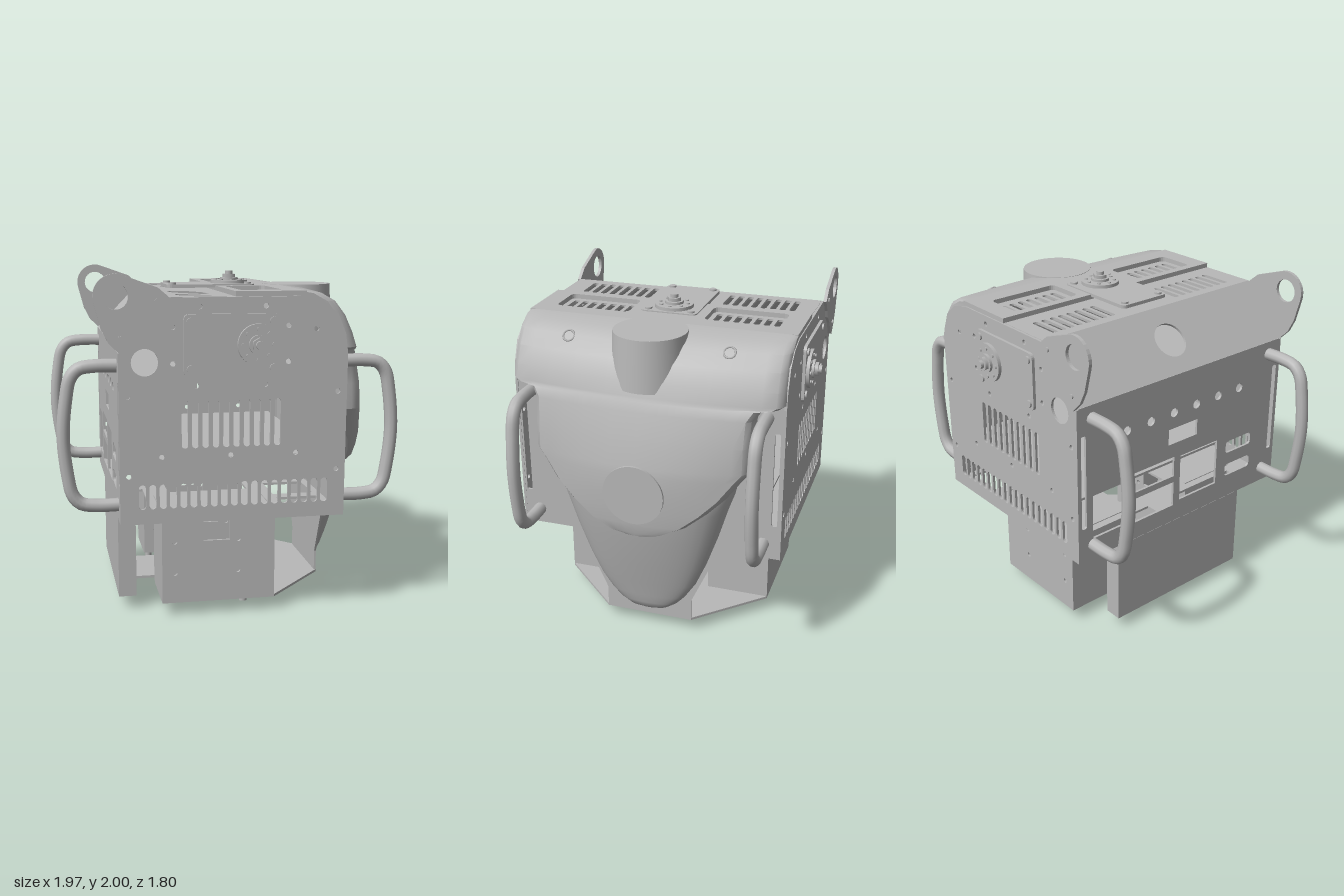
import * as THREE from 'three';
import { toCreasedNormals } from 'three/addons/utils/BufferGeometryUtils.js';

export function createModel() {
  const root = new THREE.Group();
  const grey = new THREE.MeshStandardMaterial({ color: 0xb8b8b8, side: THREE.DoubleSide });
  grey.name = 'plain grey';

  const add = (name, geo, parent = root) => {
    const m = new THREE.Mesh(geo, grey);
    m.name = name;
    parent.add(m);
    return m;
  };
  const poly = pts => pts.map(p => new THREE.Vector2(p[0], p[1]));
  const rect = (x0, y0, x1, y1) => poly([[x0, y0], [x1, y0], [x1, y1], [x0, y1]]);
  const circle = (x, y, r, n = 20) => new THREE.Path().absarc(x, y, r, 0, Math.PI * 2).getPoints(n);
  // rounded rectangle about a centre
  const pill = (x, y, w, h, r) => {
    const p = [];
    [[1, 1], [-1, 1], [-1, -1], [1, -1]].forEach(([sx, sy], q) => {
      for (let k = 0; k <= 4; k++) {
        const a = (q + k / 4) * Math.PI / 2;
        p.push([x + sx * (w / 2 - r) + r * Math.cos(a), y + sy * (h / 2 - r) + r * Math.sin(a)]);
      }
    });
    return poly(p);
  };
  // extruded sheet: 'xy' grows to +z, 'zy' grows to -x, 'xz' grows to -y
  const sheet = (outline, holes, depth, plane = 'xy') => {
    const s = new THREE.Shape(outline);
    s.holes = holes.map(h => new THREE.Path(h));
    const g = new THREE.ExtrudeGeometry(s, { depth, bevelEnabled: false });
    if (plane === 'zy') g.rotateY(-Math.PI / 2);
    if (plane === 'xz') g.rotateX(Math.PI / 2);
    return g;
  };
  // surface through rows of points
  const loft = rows => {
    const n = rows[0].length, idx = [];
    for (let i = 0; i < rows.length - 1; i++) for (let j = 0; j < n - 1; j++) {
      const a = i * n + j, b = a + n;
      idx.push(a, b, a + 1, a + 1, b, b + 1);
    }
    const g = new THREE.BufferGeometry();
    g.setAttribute('position', new THREE.Float32BufferAttribute(rows.flat(2), 3));
    g.setIndex(idx);
    return toCreasedNormals(g, 0.6);
  };

  // ---- Side plates with ventilation slots and screw holes
  const sideOutline = poly([[-0.65, 0.61], [0.64, 0.61], [0.645, 1.55], [0.63, 1.66], [0.585, 1.77],
    [0.5, 1.84], [0.38, 1.87], [-0.36, 1.87], [-0.65, 1.57]]);
  const sideHoles = [circle(-0.505, 1.52, 0.075)];
  for (let i = 0; i < 10; i++) sideHoles.push(pill(-0.285 + i * 0.0585, 1.17, 0.036, 0.27, 0.017));
  for (let i = 0; i < 19; i++) sideHoles.push(pill(-0.525 + i * 0.058, 0.765, 0.04, 0.14, 0.019));
  [[-0.2, 1.82], [0.17, 1.82], [-0.35, 1.71], [0.3, 1.71], [-0.35, 1.51], [0.3, 1.51], [0.46, 1.69],
    [-0.22, 1.385], [0.17, 1.385], [-0.6, 1.335], [0.59, 1.335], [-0.415, 0.99], [-0.025, 0.99],
    [0.35, 0.99], [-0.6, 0.885], [0.59, 0.885]].forEach(([x, y]) => sideHoles.push(circle(x, y, 0.015, 8)));

  // ---- Lifting tab outline
  const tab = [[-0.36, 1.865], [-0.43, 1.925]];
  for (let k = 0; k <= 10; k++) {
    const a = 1.15 + k * 0.225;
    tab.push([-0.66 + 0.12 * Math.cos(a), 1.88 + 0.12 * Math.sin(a)]);
  }
  tab.push([-0.74, 1.71], [-0.7, 1.63], [-0.64, 1.57], [-0.6, 1.585], [-0.53, 1.68], [-0.45, 1.74], [-0.42, 1.79]);

  // ---- Handle path
  const handlePath = new THREE.CatmullRomCurve3([[0.62, 1.495], [0.78, 1.495], [0.86, 1.48], [0.905, 1.43], [0.93, 1.32],
    [0.95, 1.1], [0.93, 0.88], [0.905, 0.77], [0.86, 0.72], [0.78, 0.705], [0.62, 0.705]]
    .map(([x, y]) => new THREE.Vector3(x, y, 0)));

  // ---- Joint hub facing +z: flange, bolt ring, hex bolt
  const hub = () => {
    const g = new THREE.Group();
    g.name = 'hub';
    const disc = (name, r, z0, z1, n, x = 0, y = 0) =>
      add(name, new THREE.CylinderGeometry(r, r, z1 - z0, n).rotateX(Math.PI / 2).translate(x, y, (z0 + z1) / 2), g);
    disc('hubFlange', 0.115, 0, 0.04, 32);
    disc('hubCollar', 0.055, 0.04, 0.055, 24);
    disc('hexBolt', 0.042, 0.055, 0.075, 6);
    disc('boltTip', 0.024, 0.075, 0.095, 12);
    for (let k = 0; k < 8; k++) disc('flangeScrew', 0.011, 0.04, 0.047, 8,
      0.085 * Math.cos(k * Math.PI / 4), 0.085 * Math.sin(k * Math.PI / 4));
    return g;
  };
  const mount = (rx, y, z) => {
    const g = new THREE.Group();
    g.name = 'jointMount';
    add('mountPlate', sheet(pill(-0.022, 0, 0.54, 0.34, 0.03), [], 0.02), g);
    for (const x of [-0.255, 0.21]) for (const v of [-0.13, 0.13])
      add('mountScrew', new THREE.CylinderGeometry(0.022, 0.022, 0.012, 12).rotateX(Math.PI / 2).translate(x, v, 0.025), g);
    const h = hub();
    h.position.x = 0.12;
    g.add(h);
    g.rotation.x = rx;
    g.position.set(0, y, z);
    root.add(g);
  };
  mount(0, 1.61, 0.803);
  mount(Math.PI, 1.61, -0.803);
  mount(-Math.PI / 2, 1.887, 0);

  for (const s of [1, -1]) {
    const at = (c, d) => s > 0 ? c : -c - d;
    add('sidePlate', sheet(sideOutline, sideHoles, 0.015)).position.z = at(0.79, 0.015);
    add('liftingTab', sheet(poly(tab), [circle(-0.66, 1.88, 0.07)], 0.02)).position.z = at(0.802, 0.02);
    for (const [x, y] of [[-0.435, 1.855], [-0.635, 1.655]])
      add('tabScrew', new THREE.CylinderGeometry(0.014, 0.014, 0.01, 10).rotateX(Math.PI / 2)).position.set(x, y, s * 0.825);
    for (const m of [1, -1]) {
      const h = add('handle', new THREE.TubeGeometry(handlePath, 48, 0.038, 10));
      h.position.z = s * 0.7;
      if (m < 0) h.rotation.y = Math.PI;
    }
    // Lower housing: four thin walls with a notch
    const notch = [rect(-0.155, 0.45, 0, 0.585), ...[[-0.325, 0.45], [0.05, 0.45], [-0.325, 0.26], [0.05, 0.26]]
      .map(([x, y]) => circle(x, y, 0.014, 8))];
    for (const z of [0.645, 0.27])
      add('housingSide', sheet(rect(-0.4, 0.09, 0.27, 0.615), notch, 0.015)).position.z = at(z, 0.015);
    for (const x of [0.27, -0.385])
      add('housingEnd', sheet(rect(at(0.27, 0.39), 0.09, at(0.27, 0.39) + 0.39, 0.635), [], 0.015, 'zy')).position.x = x;
    const foot = hub();
    foot.rotation.x = Math.PI / 2;
    foot.position.set(0.12, 0.095, s * 0.47);
    root.add(foot);
    for (const x of [-0.37, 0.2])
      add('footScrew', new THREE.CylinderGeometry(0.022, 0.022, 0.035, 10)).position.set(x, 0.072, s * 0.31);
    // Ring around each shell screw hole
    const ring = add('shellScrewRing', new THREE.TorusGeometry(0.033, 0.006, 6, 20).rotateY(Math.PI / 2));
    ring.position.set(0.606, 1.835, s * 0.47);
    ring.rotation.z = 0.75;
    // Channel flange at the rear
    add('channelFlange', sheet(rect(-0.64, 0.09, -0.535, 0.6), [], 0.012)).position.z = at(0.49, 0.012);
  }

  // ---- Top deck: slotted rear plate and raised front panel with grilles
  const rearSlots = [], vents = [], grille = [];
  for (const s of [1, -1]) {
    for (let i = 0; i < 8; i++) rearSlots.push(pill(-0.2, s * (0.25 + i * 0.0585), 0.2, 0.036, 0.017));
    vents.push(pill(0.17, s * 0.455, 0.24, 0.45, 0.03));
    for (let i = 0; i < 7; i++) grille.push(pill(0.16, s * (0.275 + i * 0.06), 0.17, 0.036, 0.015));
  }
  add('rearTopPlate', sheet(rect(-0.36, -0.79, 0.01, 0.79), rearSlots, 0.015, 'xz')).position.y = 1.872;
  add('frontTopPanel', sheet(rect(0, -0.8, 0.4, 0.8), vents, 0.028, 'xz')).position.y = 1.9;
  add('ventGrille', sheet(rect(0.01, -0.75, 0.36, 0.75), grille, 0.012, 'xz')).position.y = 1.868;

  // ---- Sloped rear panel with round opening
  const slope = add('slopedPanel', sheet(rect(-0.417, -0.79, 0, 0.79), [circle(-0.21, 0, 0.105, 28)], 0.015, 'xz'));
  slope.position.set(-0.36, 1.872, 0);
  slope.rotation.z = Math.atan2(0.3, 0.29);

  // ---- Rear wall with connector openings
  const ports = [rect(-0.7, 0.74, -0.47, 1.02), rect(-0.42, 0.72, -0.08, 0.88), rect(-0.42, 0.92, -0.08, 1.05),
    rect(-0.03, 0.74, 0.28, 1.04), pill(0.47, 0.96, 0.22, 0.08, 0.02), pill(0.47, 0.8, 0.22, 0.08, 0.02),
    rect(-0.13, 1.14, 0.1, 1.24)];
  for (let i = 0; i < 6; i++) ports.push(circle(-0.45 + i * 0.18, 1.34, 0.028, 12));
  const edgeSlots = [1, -1].map(s => pill(s * 0.762, 1.115, 0.034, 0.58, 0.01));
  add('rearWall', sheet(rect(-0.79, 0.61, 0.79, 1.575), [...ports, ...edgeSlots], 0.015, 'zy')).position.x = -0.635;
  add('frontBulkhead', sheet(rect(-0.79, 0.61, 0.79, 1.57), edgeSlots, 0.015, 'zy')).position.x = 0.64;

  // ---- Floor frame and inner decks
  const cutouts = [rect(-0.3, -0.2, 0.2, 0.2)];
  for (const s of [1, -1]) cutouts.push(rect(0.33, s * 0.08, 0.58, s * 0.36), rect(0.33, s * 0.44, 0.58, s * 0.7),
    rect(-0.58, s * 0.1, -0.45, s * 0.6));
  add('floorFrame', sheet(rect(-0.64, -0.79, 0.64, 0.79), cutouts, 0.015, 'xz')).position.y = 0.63;
  add('upperDeck', new THREE.BoxGeometry(1.24, 0.015, 1.56)).position.y = 1.43;
  add('lowerDeck', new THREE.BoxGeometry(1.1, 0.015, 1.4)).position.y = 0.95;

  // ---- Base plate, front support and rear channel
  add('basePlate', sheet(poly([[0.64, -0.27], [0.64, 0.27], [0.27, 0.66], [-0.4, 0.66], [-0.4, 0.3], [-0.33, 0.3],
    [-0.33, 0.2], [-0.51, 0.2], [-0.51, -0.2], [-0.33, -0.2], [-0.33, -0.3], [-0.4, -0.3], [-0.4, -0.66],
    [0.27, -0.66]]), [], 0.015, 'xz')).position.y = 0.095;
  add('frontSupport', sheet(poly([[-0.27, 0.085], [0.27, 0.085], [0.27, 0.22], [0.45, 0.62], [-0.45, 0.62],
    [-0.27, 0.22]]), [], 0.012, 'zy')).position.x = 0.64;
  add('rearChannel', sheet(rect(-0.5, 0.08, 0.5, 0.6), [], 0.012, 'zy')).position.x = -0.628;
  add('channelLip', new THREE.BoxGeometry(0.105, 0.012, 1)).position.set(-0.5875, 0.086, 0);

  // ---- Chest shell, rows of [y, half width, back x, edge x, centre x]
  const chest = [[1.9, 0.8, 0.3, 0.4, 0.4], [1.885, 0.8, 0.36, 0.49, 0.53], [1.84, 0.8, 0.38, 0.57, 0.62],
    [1.76, 0.8, 0.4, 0.63, 0.69], [1.66, 0.8, 0.5, 0.675, 0.74], [1.58, 0.8, 0.6, 0.7, 0.77],
    [1.565, 0.775, 0.62, 0.705, 0.775], [1.555, 0.68, 0.63, 0.73, 0.78], [1.5, 0.645, 0.64, 0.75, 0.8],
    [1.35, 0.64, 0.64, 0.775, 0.845], [1.2, 0.64, 0.64, 0.78, 0.88], [1.15, 0.6, 0.64, 0.79, 0.888],
    [1.03, 0.51, 0.64, 0.82, 0.89], [0.93, 0.41, 0.64, 0.84, 0.885], [0.84, 0.3, 0.64, 0.855, 0.88],
    [0.78, 0.17, 0.64, 0.862, 0.872], [0.757, 0.05, 0.64, 0.86, 0.865]];
  add('chestShell', loft(chest.map(([y, w, xb, xe, xc]) => {
    const r = Math.min(0.04, w * 0.2);
    const half = [[xb, y, w], [xe - 0.05, y, w], [xe - 0.02, y, w - r * 0.3]];
    for (const z of [w - r, w * 0.85, w * 0.7, w * 0.5, w * 0.25])
      half.push([xc - (xc - xe) * (z / w) ** 2, y, z]);
    return [...half, [xc, y, 0], ...half.map(([x, , z]) => [x, y, -z]).reverse()];
  })));

  // ---- Belly cover, rows of [y, half width, centre x]
  const belly = [[1.13, 0.56, 0.86], [1, 0.53, 0.868], [0.9, 0.495, 0.86], [0.7, 0.435, 0.82], [0.5, 0.365, 0.775],
    [0.35, 0.3, 0.735], [0.25, 0.235, 0.71], [0.19, 0.18, 0.695], [0.15, 0.12, 0.68], [0.13, 0.05, 0.655]];
  add('bellyCover', loft(belly.map(([y, w, xc]) => Array.from({ length: 21 }, (_, j) => {
    const a = Math.PI * j / 20;
    return [0.635 + (xc - 0.635) * Math.sin(a) ** 0.75, y, w * Math.cos(a)];
  }))));

  // ---- Neck boss and round chest cover
  add('neckBoss', new THREE.CylinderGeometry(0.212, 0.23, 0.3, 40)).position.set(0.55, 1.752, 0);
  add('chestDisc', new THREE.CylinderGeometry(0.18, 0.18, 0.03, 40).rotateZ(-Math.PI / 2)).position.set(0.878, 1.03, 0);

  return root;
}
